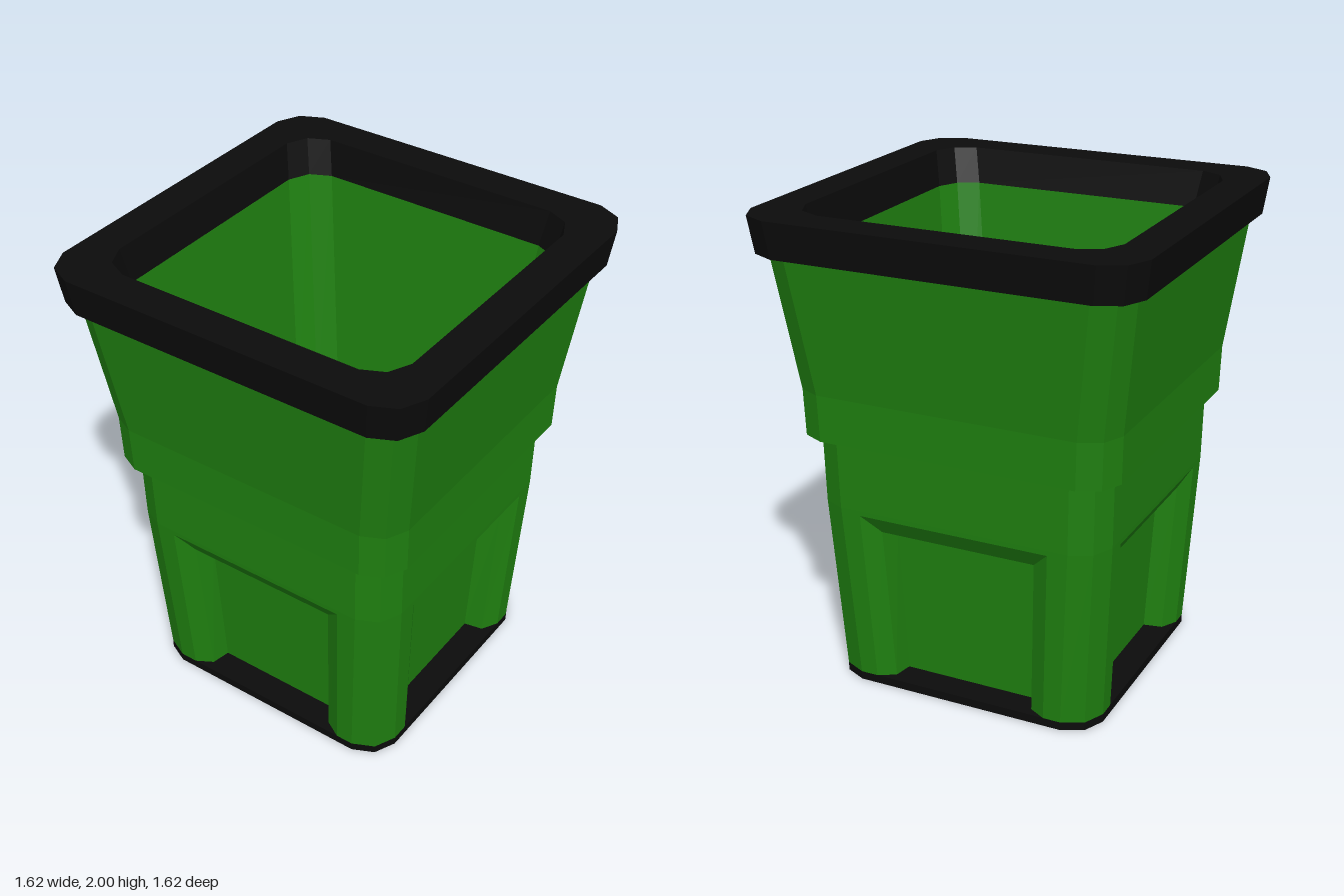
import * as THREE from 'three';

const green = new THREE.MeshStandardMaterial({ color: 0x1f8010, flatShading: true });
const black = new THREE.MeshStandardMaterial({ color: 0x0b0b0b, flatShading: true });

// Square ring with two-facet corners; h = half width, c = corner cut
function ring(h, y, c = 0.13) {
  const m = c * 0.32, pts = [];
  for (let k = 0; k < 4; k++) {
    for (let [x, z] of [[h - c, h], [h - m, h - m], [h, h - c]]) {
      for (let i = 0; i < k; i++) [x, z] = [z, -x];
      pts.push(new THREE.Vector3(x, y, z));
    }
  }
  return pts;
}

// Adds a triangle unless it has no area
function tri(out, a, b, c) {
  const n = b.clone().sub(a).cross(c.clone().sub(a));
  if (n.length() > 1e-7) for (const p of [a, b, c]) out.push(p.x, p.y, p.z);
}

function quad(out, a, b, c, d) {
  tri(out, a, b, c);
  tri(out, a, c, d);
}

function mesh(name, positions, material) {
  const g = new THREE.BufferGeometry();
  g.setAttribute('position', new THREE.Float32BufferAttribute(positions, 3));
  g.computeVertexNormals();
  const m = new THREE.Mesh(g, material);
  m.name = name;
  return m;
}

// Skin between successive rings [half, y, corner]
function loft(name, profile, material) {
  const out = [], rings = profile.map(p => ring(...p));
  for (let i = 0; i + 1 < rings.length; i++) {
    const lo = rings[i], hi = rings[i + 1];
    for (let j = 0; j < 12; j++) {
      const n = (j + 1) % 12;
      quad(out, lo[j], lo[n], hi[n], hi[j]);
    }
  }
  return mesh(name, out, material);
}

const BOTTOM = 0.035, SHOULDER = 0.8, CUT = 0.13;
const face = y => 0.585 + 0.04 * (y - BOTTOM) / (SHOULDER - BOTTOM);

// One lower side: flat face, bevelled frame and sunken panel, as nested arches
function recessedSide() {
  const arch = (wBottom, wTop, y, depth) => [
    [-wBottom, BOTTOM], [-wTop, y], [wTop, y], [wBottom, BOTTOM],
  ].map(([x, h]) => new THREE.Vector3(x, h, face(h) - depth));
  const arches = [
    arch(face(BOTTOM) - CUT, face(SHOULDER) - CUT, SHOULDER, 0),
    arch(0.38, 0.41, 0.78, 0),
    arch(0.31, 0.335, 0.705, 0.04),
    arch(0.295, 0.31, 0.68, 0.12),
  ];
  const out = [];
  for (let i = 0; i < 3; i++) {
    const o = arches[i], n = arches[i + 1];
    for (let j = 0; j < 3; j++) quad(out, o[j], n[j], n[j + 1], o[j + 1]);
  }
  const p = arches[3];
  quad(out, p[0], p[3], p[2], p[1]);
  return mesh('recessedSide', out, green);
}

// Faceted corner post between two lower sides
function cornerPost() {
  const out = [], lo = ring(face(BOTTOM), BOTTOM), hi = ring(face(SHOULDER), SHOULDER);
  for (let j = 0; j < 2; j++) quad(out, lo[j], lo[j + 1], hi[j + 1], hi[j]);
  return mesh('cornerPost', out, green);
}

export function createModel() {
  const bin = new THREE.Group();
  bin.name = 'bin';

  // Lower body
  for (let k = 0; k < 4; k++) {
    for (const part of [recessedSide(), cornerPost()]) {
      part.rotation.y = k * Math.PI / 2;
      bin.add(part);
    }
  }

  // Upper body with overhanging step
  bin.add(loft('upperBody', [
    [0.625, 0.8], [0.63, 1.095], [0.675, 1.095], [0.68, 1.29], [0.752, 1.86],
  ], green));

  // Inner walls and floor
  bin.add(loft('interior', [
    [0.63, 1.85], [0.52, 0.8], [0.305, 0.3, 0], [0, 0.3, 0],
  ], green));

  // Rim
  bin.add(loft('rim', [
    [0.63, 1.85], [0.75, 1.85, 0.14], [0.79, 1.85, 0.14], [0.81, 2, 0.145],
    [0.655, 2], [0.63, 1.85],
  ], black));

  // Base plate with a shallow hollow underneath
  bin.add(loft('basePlate', [
    [0.48, 0, 0.11], [0.585, 0], [0.585, BOTTOM], [0, BOTTOM, 0],
  ], black));
  bin.add(loft('baseStep', [[0.48, 0.02, 0.11], [0.48, 0, 0.11]], green));
  bin.add(loft('baseUnderside', [[0, 0.02, 0], [0.48, 0.02, 0.11]], black));

  return bin;
}
